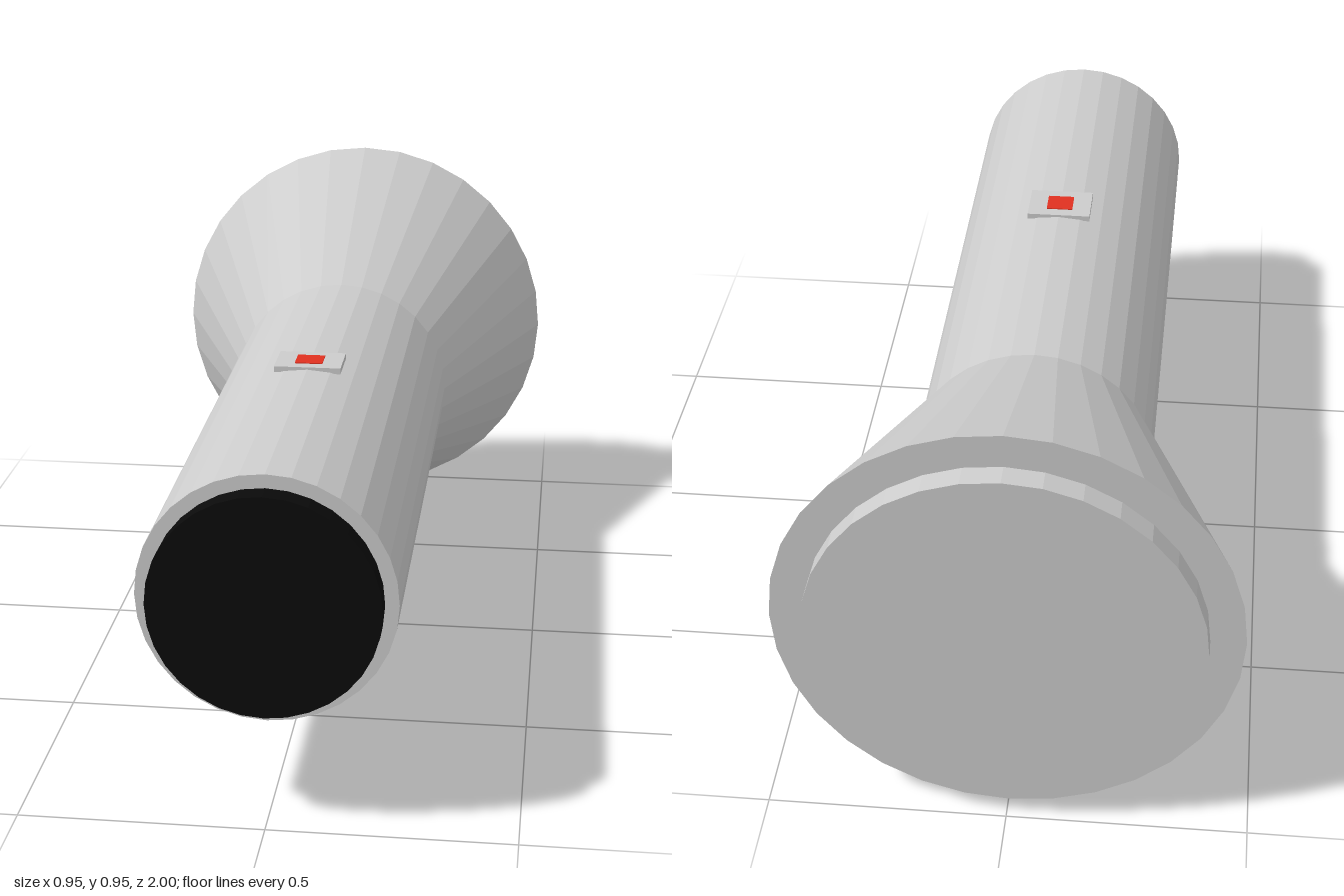
import * as THREE from 'three';

const AXIS_Y = 0.478;
const SIDES = 32;

function material(color) {
  return new THREE.MeshStandardMaterial({ color, flatShading: true });
}

export function createModel() {
  const model = new THREE.Group();
  model.name = 'flashlight';
  const grey = material(0xcccccc);
  const black = material(0x0a0a0a);
  const red = material(0xe03020);

  // Round section along z, from zBack to zFront
  function section(name, zBack, zFront, rBack, rFront, mat) {
    const geometry = new THREE.CylinderGeometry(rFront, rBack, zFront - zBack, SIDES);
    geometry.rotateX(Math.PI / 2);
    const mesh = new THREE.Mesh(geometry, mat);
    mesh.name = name;
    mesh.position.set(0, AXIS_Y, (zBack + zFront) / 2);
    model.add(mesh);
  }

  section('lens', -1, -0.95, 0.403, 0.403, grey);
  section('reflectorHead', -0.95, -0.37, 0.475, 0.258, grey);
  section('handle', -0.37, 0.953, 0.258, 0.258, grey);
  section('endCap', 0.953, 1, 0.23, 0.23, black);

  // Flat block on top of the handle, given by its top height
  function block(name, width, height, depth, top, mat) {
    const mesh = new THREE.Mesh(new THREE.BoxGeometry(width, height, depth), mat);
    mesh.name = name;
    mesh.position.set(0, top - height / 2, 0.255);
    model.add(mesh);
  }

  block('switchPlate', 0.145, 0.013, 0.11, 0.741, grey);
  block('switchButton', 0.06, 0.01, 0.057, 0.743, red);

  return model;
}
